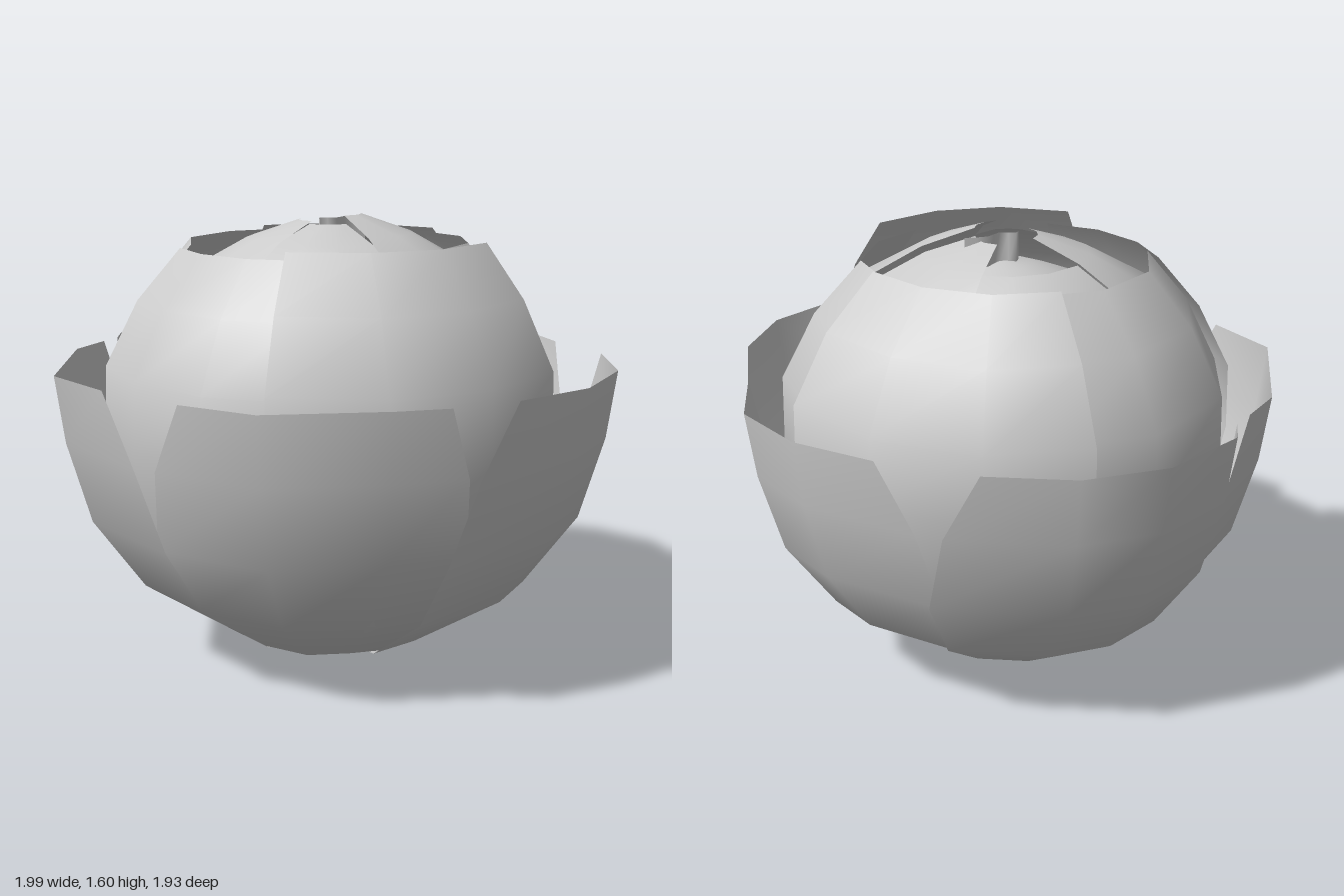
import * as THREE from 'three';

const material = new THREE.MeshStandardMaterial({ color: 0xcccccc, side: THREE.DoubleSide });

// Profiles: [radius factor, height, how far the side edges are pulled in]
const outerProfile = [[0, 0.005, 0], [0.37, 0.08, 0], [0.71, 0.31, 0], [0.89, 0.57, 0], [0.97, 0.86, 0.15], [1, 1.095, 0.4]];
const middleProfile = (rim) => [[0, 0.02, 0], [0.4, 0.09, 0], [0.75, 0.3, 0], [0.92, 0.57, 0], [0.99, 0.86, 0], [0.98, 1.1, 0],
  [0.62 + rim / 3, 1.33, 0], [rim, 1.51, 0]];
const innerProfile = [[0, 0.03, 0], [0.4, 0.12, 0], [0.75, 0.33, 0], [0.95, 0.6, 0], [1, 0.86, 0], [0.94, 1.12, 0], [0.76, 1.37, 0], [0.4, 1.515, 0], [0.15, 1.575, 0]];

// Petals: profile, lift of the rim, then columns of [angle in degrees from the front towards +x, radius]
const outerPetals = [
  { profile: outerProfile, lift: 0, columns: [[-65, 0.92], [-46, 0.95], [-16, 1], [14, 0.97]] },
  { profile: outerProfile, lift: 0, columns: [[11, 0.96], [39, 0.98], [64, 0.93], [82, 0.97]] },
  { profile: outerProfile, lift: 0.01, columns: [[76, 1.02], [105, 1.03], [123, 1.03], [153, 1]] },
  { profile: outerProfile, lift: 0, columns: [[148, 0.93], [179, 0.97], [197, 0.95], [228, 0.94]] },
  { profile: outerProfile, lift: 0, columns: [[225, 0.95], [255, 0.98], [272, 1], [291, 0.97], [302, 0.88]] },
];
const middlePetals = [
  { profile: middleProfile(0.65), lift: -0.015, columns: [[-26, 0.82], [-3, 0.81], [21, 0.81], [44, 0.79]] },
  { profile: middleProfile(0.69), lift: 0.02, columns: [[38, 0.85], [64, 0.88], [88, 0.88], [114, 0.86]] },
  { profile: middleProfile(0.62), lift: 0, columns: [[106, 0.77], [131, 0.79], [160, 0.81], [186, 0.79]] },
  { profile: middleProfile(0.61), lift: 0.015, columns: [[182, 0.83], [210, 0.83], [237, 0.84], [262, 0.83]] },
  { profile: middleProfile(0.64), lift: 0, columns: [[256, 0.76], [279, 0.81], [309, 0.81], [338, 0.78]] },
];
// The left inner petal stops short and leaves an opening
const innerPetals = [
  { profile: innerProfile, lift: 0, columns: [[12, 0.74], [34, 0.73], [57, 0.72], [84, 0.7]] },
  { profile: innerProfile, lift: 0.03, columns: [[78, 0.74], [104, 0.74], [128, 0.74], [152, 0.73]] },
  { profile: innerProfile, lift: 0, columns: [[148, 0.71], [175, 0.72], [200, 0.73], [226, 0.73]] },
  { profile: innerProfile.slice(0, -1), lift: 0, columns: [[222, 0.71], [247, 0.71], [272, 0.71], [300, 0.71]] },
  { profile: innerProfile, lift: 0.01, columns: [[298, 0.74], [324, 0.74], [349, 0.74], [375, 0.71]] },
];

// Curved sheet swept over the columns and up the profile
function petal(name, { profile, lift, columns }) {
  const positions = [], index = [], n = columns.length;
  profile.forEach(([factor, y, pull], row) => {
    const points = columns.map(([deg, r]) => {
      const a = THREE.MathUtils.degToRad(deg);
      return new THREE.Vector3(Math.sin(a) * r * factor, y + lift * row / (profile.length - 1), Math.cos(a) * r * factor);
    });
    points[0].lerp(points[1], pull);
    points[n - 1].lerp(points[n - 2], pull);
    points.forEach((p) => positions.push(p.x, p.y, p.z));
    if (row === 0) return;
    for (let i = 0; i < n - 1; i++) {
      const a = (row - 1) * n + i, b = row * n + i;
      index.push(a, a + 1, b + 1, a, b + 1, b);
    }
  });
  const geometry = new THREE.BufferGeometry();
  geometry.setAttribute('position', new THREE.Float32BufferAttribute(positions, 3));
  geometry.setIndex(index);
  geometry.computeVertexNormals();
  const mesh = new THREE.Mesh(geometry, material);
  mesh.name = name;
  return mesh;
}

function layer(name, petals) {
  const group = new THREE.Group();
  group.name = name + 's';
  petals.forEach((spec) => group.add(petal(name, spec)));
  return group;
}

export function createModel() {
  const model = new THREE.Group();
  model.name = 'flowerBud';
  model.add(
    layer('outerPetal', outerPetals),
    layer('middlePetal', middlePetals),
    layer('innerPetal', innerPetals),
  );

  // Closed heart inside the petals
  const profile = innerProfile.map(([r, y]) => new THREE.Vector2(r * 0.62, 0.05 + y * 0.91));
  profile.push(new THREE.Vector2(0, 1.49));
  const core = new THREE.Mesh(new THREE.LatheGeometry(profile, 12), material);
  core.name = 'core';
  model.add(core);

  // Small curled tip in the middle
  const curl = new THREE.CatmullRomCurve3([[0, -0.16], [-0.02, -0.08], [0.01, -0.02], [-0.02, 0.03], [0.02, 0.06]]
    .map(([x, z]) => new THREE.Vector3(x, 0, z)));
  const strip = new THREE.PlaneGeometry(1, 0.12, 8, 1);
  const pos = strip.attributes.position;
  for (let i = 0; i < pos.count; i++) {
    const p = curl.getPoint(pos.getX(i) + 0.5);
    pos.setXYZ(i, p.x, 1.53 + pos.getY(i), p.z);
  }
  strip.computeVertexNormals();
  const tip = new THREE.Mesh(strip, material);
  tip.name = 'curledTip';
  model.add(tip);

  return model;
}
